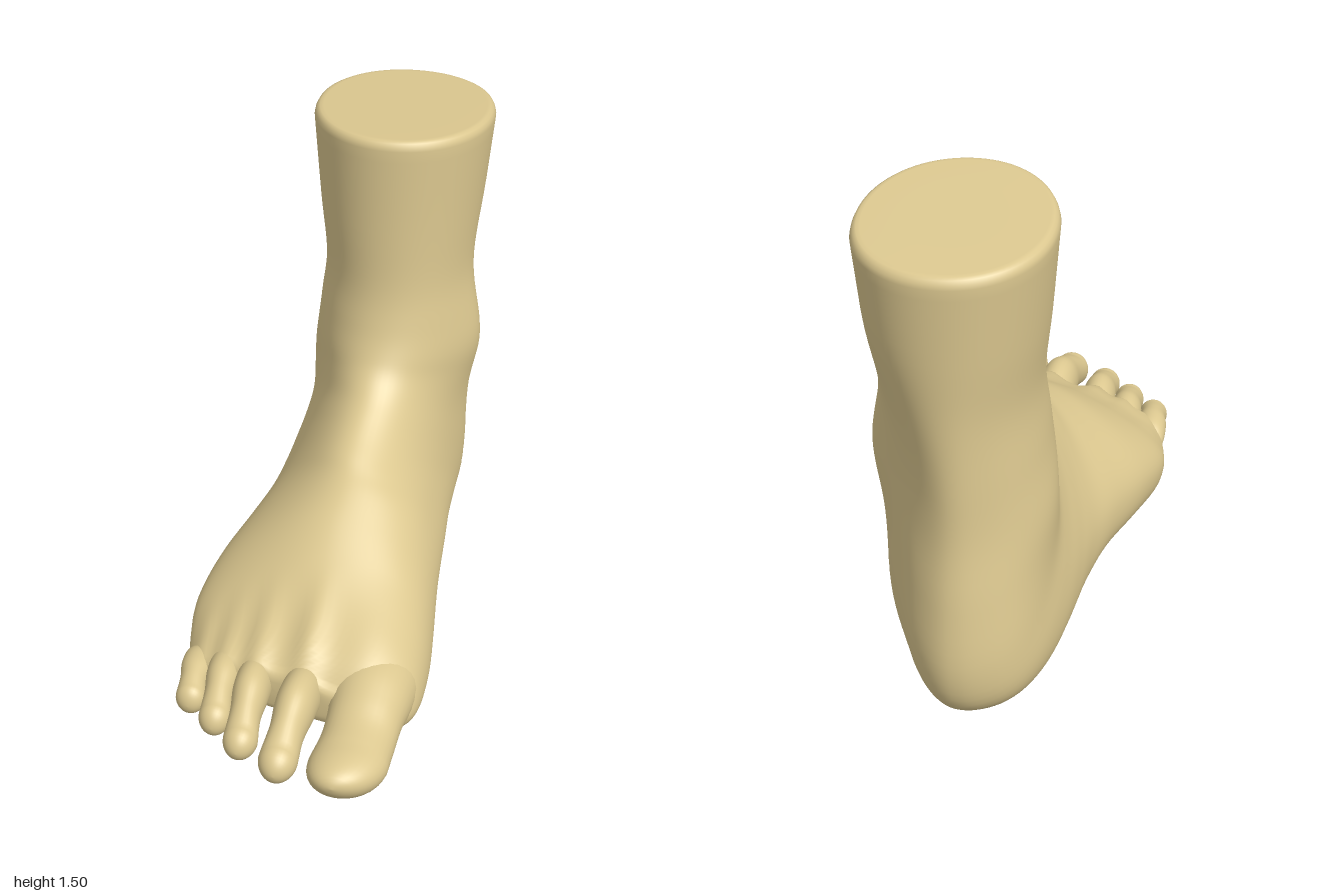
import * as THREE from 'three';

const skin = new THREE.MeshStandardMaterial({ color: 0xdcc890, roughness: 0.8 });
const SEG = 96;
const smooth = THREE.MathUtils.smoothstep;
const gauss = (d, r) => Math.exp(-(d * d) / (r * r));

// Smaller toes: root x, tip x, tip z, length, knuckle height, tip height, half width
const toes = [
  ['secondToe', 0.04, 0.02, 0.96, 0.46, 0.266, 0.185, 0.058],
  ['thirdToe', -0.115, -0.1, 0.885, 0.41, 0.245, 0.175, 0.052],
  ['fourthToe', -0.218, -0.198, 0.795, 0.36, 0.222, 0.172, 0.049],
  ['littleToe', -0.312, -0.293, 0.71, 0.28, 0.188, 0.165, 0.046],
];

// Skins a list of closed rings; both ends are closed on their centre.
function loft(name, rings) {
  const n = rings[0].length;
  const centre = (ring) => {
    const c = ring.reduce((s, p) => s.add(p), new THREE.Vector3()).divideScalar(n);
    return ring.map(() => c);
  };
  const all = [centre(rings[0]), ...rings, centre(rings[rings.length - 1])];
  const pos = [], idx = [];
  all.forEach((ring) => ring.forEach((p) => pos.push(p.x, p.y, p.z)));
  for (let i = 0; i < all.length - 1; i++) {
    for (let j = 0; j < n; j++) {
      const k = (j + 1) % n;
      const a = i * n + j, b = a + n, c = i * n + k, d = c + n;
      if (i > 0) idx.push(a, b, c);
      if (i < all.length - 2) idx.push(c, b, d);
    }
  }
  const g = new THREE.BufferGeometry();
  g.setAttribute('position', new THREE.Float32BufferAttribute(pos, 3));
  g.setIndex(idx);
  g.computeVertexNormals();
  const mesh = new THREE.Mesh(g, skin);
  mesh.name = name;
  return mesh;
}

// Sections from shin to toe roots: front/top point (z, y), back/bottom point (z, y),
// x range, sideways shift of the crest.
const sections = [
  [-0.335, 1.48, -0.98, 1.42, -0.21, 0.35, 0],
  [-0.335, 1.2, -0.965, 1.18, -0.186, 0.326, 0],
  [-0.328, 1.0, -0.95, 0.98, -0.165, 0.312, 0],
  [-0.3, 0.87, -0.945, 0.78, -0.18, 0.318, 0],
  [-0.265, 0.785, -0.95, 0.6, -0.19, 0.318, 0],
  [-0.23, 0.735, -0.98, 0.4, -0.195, 0.314, 0],
  [-0.18, 0.693, -1.0, 0.2, -0.205, 0.312, 0.005],
  [-0.12, 0.657, -0.965, 0.07, -0.225, 0.31, 0.01],
  [-0.06, 0.625, -0.86, 0.015, -0.24, 0.305, 0.015],
  [0, 0.595, -0.7, 0.005, -0.25, 0.303, 0.02],
  [0.05, 0.567, -0.45, 0.025, -0.265, 0.312, 0.03],
  [0.11, 0.538, -0.2, 0.045, -0.3, 0.33, 0.04],
  [0.2, 0.49, 0.05, 0.035, -0.355, 0.345, 0.05],
  [0.3, 0.43, 0.25, 0.012, -0.385, 0.365, 0.06],
  [0.4, 0.37, 0.42, 0.003, -0.375, 0.38, 0.06],
  [0.5, 0.315, 0.53, 0.015, -0.362, 0.372, 0.06],
  [0.58, 0.27, 0.59, 0.04, -0.35, 0.325, 0.05],
  [0.63, 0.23, 0.63, 0.075, -0.33, 0.25, 0.03],
];

// Catmull-Rom blend between neighbouring sections
function sectionAt(t) {
  const last = sections.length - 1;
  const i = Math.min(Math.floor(t), last - 1), f = t - i;
  const row = (k) => sections[THREE.MathUtils.clamp(k, 0, last)];
  const [a, b, c, d] = [row(i - 1), row(i), row(i + 1), row(i + 2)];
  return b.map((v, k) => v + 0.5 * f * (c[k] - a[k]
    + f * (2 * a[k] - 5 * v + 4 * c[k] - d[k] + f * (3 * (v - c[k]) + d[k] - a[k]))));
}

// Rounded ring: as it turns upright it widens toward the sole and grows fuller on the inner side
function sectionRing([az, ay, bz, by, x0, x1, skew], scale = 1, lift = 0, push = 0) {
  const v = Math.max((ay - by) / Math.hypot(az - bz, ay - by), 0);
  const ring = [];
  for (let j = 0; j < SEG; j++) {
    const t = (j / SEG) * Math.PI * 2, ct = Math.cos(t), st = Math.sin(t);
    const e = 2 / (2.05 + (ct > 0 ? v * (0.45 * st - 0.17) * ct : -0.6 * v * v * ct));
    const c = Math.sign(ct) * Math.abs(ct) ** e, s = Math.sign(st) * Math.abs(st) ** e;
    const along = (c - 0.33 * v * (1 - c * c)) * scale;
    ring.push(new THREE.Vector3(
      (x0 + x1) / 2 + ((x1 - x0) / 2) * s * scale + (c > 0 ? skew * c * c : 0),
      (ay + by) / 2 + ((ay - by) / 2) * along + lift,
      (az + bz) / 2 + ((az - bz) / 2) * along + push));
  }
  return ring;
}

// Ankle bones, slim heel, inner arch, ridges running into the toes, slanted toe line
function sculpt(p) {
  const inner = 0.03 * gauss(p.y - 0.72, 0.15) * gauss(p.z + 0.57, 0.17);
  const outer = 0.016 * gauss(p.y - 0.6, 0.13) * gauss(p.z + 0.68, 0.16);
  const heel = 0.085 * smooth(-p.z, 0.55, 0.88) * (1 - smooth(p.y, 0.7, 1.25));
  p.x += (inner - heel) * smooth(p.x, -0.08, 0.24) - outer * smooth(-p.x, 0, 0.16);
  p.y += 0.065 * gauss(p.z + 0.08, 0.3) * smooth(p.x, 0, 0.3) * (1 - smooth(p.y, 0.03, 0.4));
  p.z += 0.2 * (p.x - 0.06) * smooth(p.z, 0.3, 0.62);
  const fan = smooth(p.z, 0.3, 0.6) * smooth(p.y, 0.1, 0.2);
  for (const toe of toes) p.y += 0.03 * fan * gauss(p.x - toe[1], 0.042);
  p.y += 0.02 * fan * gauss(p.x - 0.23, 0.09);
  return p;
}

function makeFoot() {
  const top = sections[0], end = sections[sections.length - 1];
  // Flat cut with a rounded rim
  const rings = [[0.5, 0.03], [0.9, 0.03], [0.94, 0.029], [0.97, 0.024], [0.99, 0.013]]
    .map(([s, l]) => sectionRing(top, s, l));
  const steps = (sections.length - 1) * 5;
  for (let i = 0; i <= steps; i++) {
    rings.push(sectionRing(sectionAt((i / steps) * (sections.length - 1))).map(sculpt));
  }
  // Rounded web between the toes
  for (const [s, push] of [[0.93, 0.013], [0.8, 0.024], [0.55, 0.03]]) {
    rings.push(sectionRing(end, s, 0, push).map(sculpt));
  }
  return loft('footAndAnkle', rings);
}

// Toe rows: z, x, top y, bottom y, half width; the tip is rounded off at zTip
function makeToe(name, rows, zTip, shift, lift) {
  const rings = [];
  const curveA = new THREE.CatmullRomCurve3(rows.map(([z, x, t]) => new THREE.Vector3(x, t, z)));
  const curveB = new THREE.CatmullRomCurve3(rows.map(([z, , , b, w]) => new THREE.Vector3(w, b, z)));
  const ring = (x, top, bottom, w, z, k) => {
    const out = [];
    for (let j = 0; j < 32; j++) {
      const t = (j / 32) * Math.PI * 2;
      out.push(new THREE.Vector3(x + Math.sin(t) * w * k,
        (top + bottom) / 2 + Math.cos(t) * ((top - bottom) / 2) * k, z));
    }
    return out;
  };
  for (let i = 0; i <= 24; i++) {
    const a = curveA.getPoint(i / 24), b = curveB.getPoint(i / 24);
    rings.push(ring(a.x, a.y, b.y, b.x, a.z, 1));
  }
  const [z, x, t, b, w] = rows[rows.length - 1];
  for (let i = 1; i <= 10; i++) {
    const a = (i / 10.3) * Math.PI / 2, s = Math.sin(a), up = lift * s * s;
    rings.push(ring(x + shift * s, t + up, b + up, w, z + (zTip - z) * s, Math.cos(a)));
  }
  return loft(name, rings);
}

export function createModel() {
  const group = new THREE.Group();
  group.name = 'foot';
  group.add(makeFoot());

  group.add(makeToe('bigToe', [
    [0.38, 0.23, 0.24, 0.04, 0.115],
    [0.5, 0.238, 0.27, 0.022, 0.13],
    [0.6, 0.238, 0.27, 0.035, 0.124],
    [0.69, 0.238, 0.245, 0.05, 0.112],
    [0.77, 0.235, 0.215, 0.042, 0.11],
    [0.86, 0.228, 0.202, 0.045, 0.115],
  ], 1.0, -0.02, 0.025));

  for (const [name, xr, xt, zt, len, yk, yt, w] of toes) {
    const row = (f, top, bottom, width) =>
      [zt - len * (1 - f), xr + (xt - xr) * f * f, top, bottom, w * width];
    group.add(makeToe(name, [
      row(0, yk - 0.07, 0.09, 0.8),
      row(0.25, yk - 0.012, 0.085, 1.05),
      row(0.48, yk, 0.095, 1.05),
      row(0.67, (yk + yt) / 2 + 0.005, 0.09, 0.9),
      row(0.85, yt + 0.003, 0.066, 1),
    ], zt, 0, -0.005));
  }
  return group;
}
